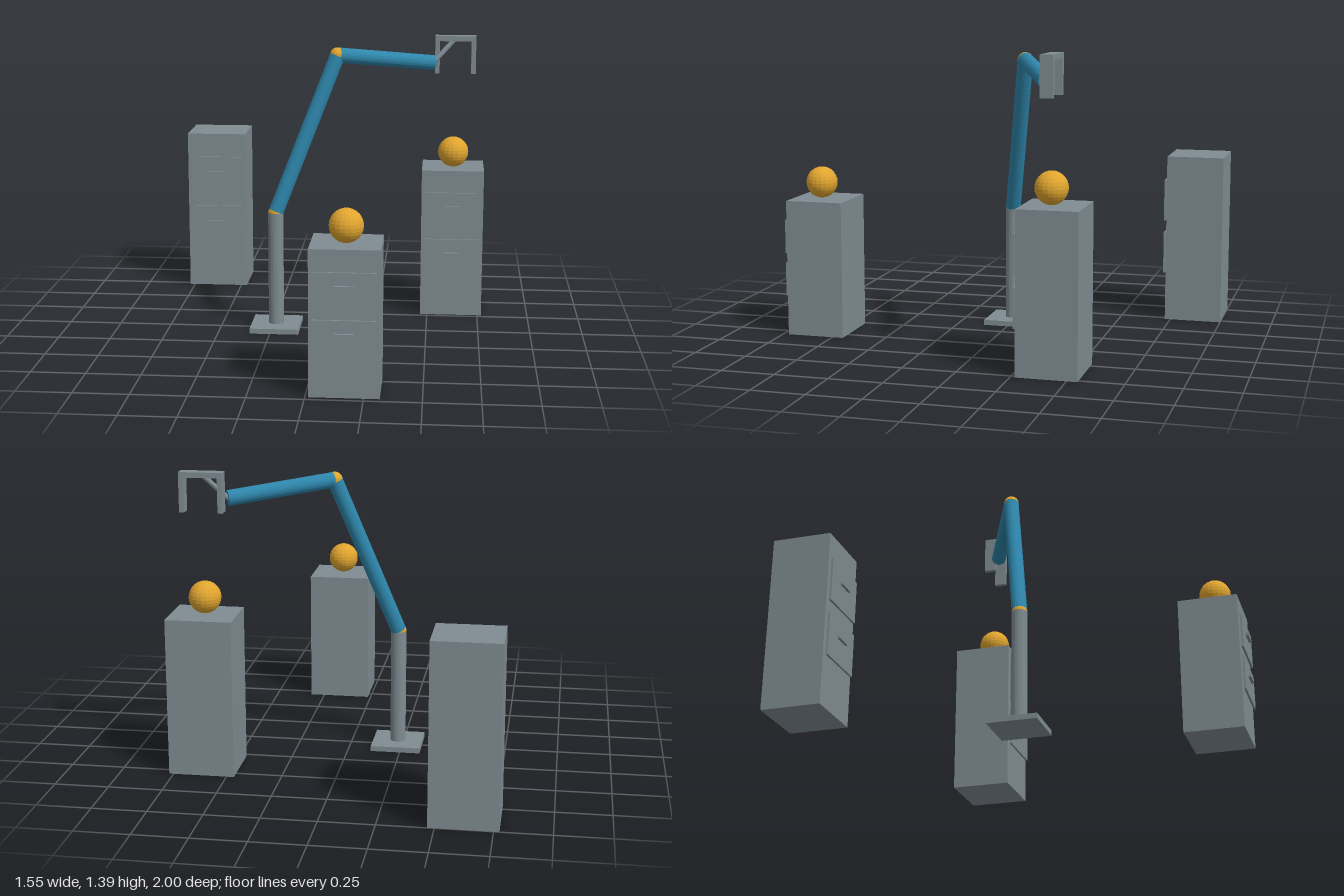
import * as THREE from 'three';

export function createModel() {
  const root = new THREE.Group();
  root.name = 'robotArmWithCabinets';

  const material = (name, color) => {
    const m = new THREE.MeshStandardMaterial({ color, flatShading: true });
    m.name = name;
    return m;
  };
  const grey = material('steelGrey', 0x7f8c92);
  const blue = material('armBlue', 0x2e86ab);
  const amber = material('amber', 0xe0a52f);

  const add = (parent, name, geometry, mat, x = 0, y = 0, z = 0) => {
    const mesh = new THREE.Mesh(geometry, mat);
    mesh.name = name;
    mesh.position.set(x, y, z);
    parent.add(mesh);
    return mesh;
  };
  const box = (w, h, d) => new THREE.BoxGeometry(w, h, d);
  const ball = (r) => new THREE.SphereGeometry(r, 20, 14);

  // Cylinder running between two points
  const UP = new THREE.Vector3(0, 1, 0);
  const link = (parent, name, a, b, r, mat, sides = 20) => {
    const dir = b.clone().sub(a);
    const mesh = add(parent, name, new THREE.CylinderGeometry(r, r, dir.length(), sides), mat);
    mesh.position.copy(a).lerp(b, 0.5);
    mesh.quaternion.setFromUnitVectors(UP, dir.normalize());
  };

  // Two-drawer cabinet; drawer heights follow the cabinet height
  const cabinet = (name, x, z, h, hasBall) => {
    const g = new THREE.Group();
    g.name = name;
    g.position.set(x, 0, z);
    root.add(g);
    add(g, 'cabinetBody', box(0.305, h, 0.277), grey, 0, h / 2, 0);
    for (const [level, f] of [['lower', 0.409], ['upper', 0.729]]) {
      add(g, level + 'Drawer', box(0.27, 0.248 * h, 0.0095), grey, 0, f * h, 0.1488);
      add(g, level + 'Handle', box(0.087, 0.0125, 0.013), grey, 0, f * h + 0.018, 0.16);
    }
    if (hasBall) add(g, 'ball', ball(0.075), amber, 0, h + 0.075, 0.015);
  };
  cabinet('frontCabinet', 0.167, 0.8335, 0.65, true);
  cabinet('leftCabinet', 0.618, -0.41, 0.736, true);
  cabinet('backCabinet', -0.6225, -0.8615, 0.822, false);

  // Jointed arm on its post
  const arm = new THREE.Group();
  arm.name = 'arm';
  root.add(arm);
  const foot = new THREE.Vector3(-0.229, 0.02, 0);
  const shoulder = new THREE.Vector3(-0.229, 0.575, 0);
  const elbow = new THREE.Vector3(0.058, 1.321, -0.133);
  const wrist = new THREE.Vector3(0.513, 1.262, -0.344);
  const hand = new THREE.Vector3(0.621, 1.377, -0.394);
  add(arm, 'basePlate', box(0.236, 0.025, 0.236), grey, foot.x, 0.0125, 0);
  link(arm, 'post', foot, shoulder, 0.037, grey);
  link(arm, 'upperArm', shoulder, elbow, 0.0365, blue);
  link(arm, 'forearm', elbow, wrist, 0.0365, blue);
  add(arm, 'shoulderJoint', ball(0.037), amber).position.copy(shoulder);
  add(arm, 'elbowJoint', ball(0.037), amber).position.copy(elbow);
  link(arm, 'wristRod', wrist, hand, 0.012, grey, 12);

  // Gripper with two fingers
  const gripper = new THREE.Group();
  gripper.name = 'gripper';
  gripper.position.copy(hand);
  arm.add(gripper);
  add(gripper, 'gripperBar', box(0.2, 0.025, 0.058), grey);
  for (const [side, s] of [['left', 1], ['right', -1]]) {
    add(gripper, side + 'Finger', box(0.023, 0.16, 0.058), grey, s * 0.0885, -0.0915, 0);
  }

  return root;
}
